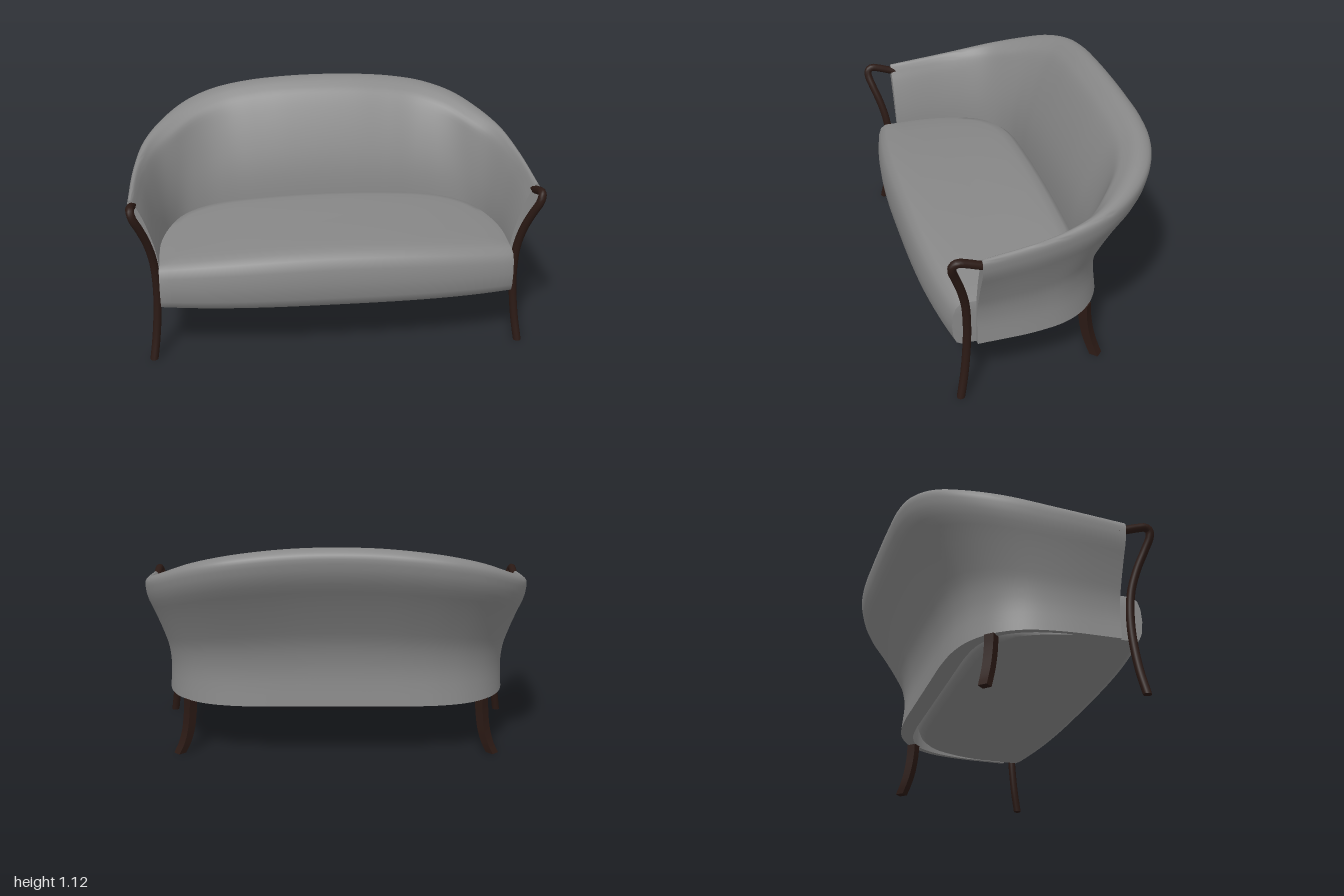
import * as THREE from 'three';
import { toCreasedNormals } from 'three/addons/utils/BufferGeometryUtils.js';

const V = (x, y, z) => new THREE.Vector3(x, y, z);
const fabric = new THREE.MeshStandardMaterial({ color: 0x878787, side: THREE.DoubleSide });
const wood = new THREE.MeshStandardMaterial({ color: 0x2a1914, side: THREE.DoubleSide });

// Skin a stack of closed rings, cap both ends, and make the faces point outward.
function loft(rings, crease) {
  const n = rings[0].length, pts = rings.flat(), tris = [];
  for (let i = 0; i < rings.length - 1; i++) {
    for (let j = 0; j < n; j++) {
      const a = i * n + j, b = i * n + (j + 1) % n;
      tris.push([a, b, b + n], [a, b + n, a + n]);
    }
  }
  const last = (rings.length - 1) * n;
  // Ear-clipped caps also suit curved (concave) sections.
  const cap = (ring, offset, flip) => {
    const normal = V(0, 0, 0);
    ring.forEach((p, j) => normal.add(p.clone().cross(ring[(j + 1) % n])));
    const q = new THREE.Quaternion().setFromUnitVectors(normal.normalize(), V(0, 0, 1));
    const flat = ring.map(p => { const r = p.clone().applyQuaternion(q); return new THREE.Vector2(r.x, r.y); });
    for (const [a, b, c] of THREE.ShapeUtils.triangulateShape(flat, [])) {
      tris.push(flip ? [offset + a, offset + c, offset + b] : [offset + a, offset + b, offset + c]);
    }
  };
  cap(rings[0], 0, true);
  cap(rings[rings.length - 1], last, false);
  let volume = 0;
  for (const [a, b, c] of tris) volume += pts[a].dot(pts[b].clone().cross(pts[c]));
  const index = tris.flatMap(([a, b, c]) => (volume < 0 ? [a, c, b] : [a, b, c]));
  const geo = new THREE.BufferGeometry().setFromPoints(pts);
  geo.setIndex(index);
  return toCreasedNormals(geo, crease);
}

function part(name, geo, material) {
  const mesh = new THREE.Mesh(geo, material);
  mesh.name = name;
  return mesh;
}

// Wraparound back and arms: one leaning section swept round a U-shaped plan.
function backShell() {
  const base = 0.275;
  // Outer top x,z; inner top x,z; outer bottom x,z; inner bottom x,z; height
  const half = [
    [0, -.574, 0, -.42, 0, -.326, 0, -.24, 1.112],
    [.2, -.574, .19, -.42, .19, -.326, .18, -.24, 1.107],
    [.4, -.573, .37, -.42, .37, -.325, .35, -.24, 1.09],
    [.58, -.55, .52, -.405, .53, -.31, .5, -.238, 1.062],
    [.73, -.485, .66, -.35, .66, -.27, .635, -.218, 1.02],
    [.85, -.37, .77, -.26, .77, -.19, .75, -.16, .965],
    [.94, -.2, .875, -.14, .845, -.07, .82, -.055, .91],
    [.985, .05, .935, .06, .88, .1, .86, .11, .86],
    [1, .385, .96, .385, .888, .385, .868, .385, .82],
  ];
  const stations = [
    ...half.slice(1).reverse().map(s => s.map((v, i) => (i < 8 && i % 2 === 0 ? -v : v))),
    ...half,
  ];
  const rail = k => new THREE.CatmullRomCurve3(
    stations.map(s => V(s[k], k < 4 ? s[8] : base, s[k + 1])));
  const rails = [0, 2, 4, 6].map(rail);

  // Section: x = inner to outer, y = bottom to top rail, z = height fraction
  const section = new THREE.CatmullRomCurve3([
    V(1, 0, 0), V(1, -.06, .21), V(1, .02, .365), V(1, .245, .51), V(1, .6, .69),
    V(1, .94, .856), V(1, 1, .95), V(.82, 1, .995), V(.5, 1, 1), V(.2, 1, .965),
    V(0, .98, .925), V(0, .75, .84), V(0, .4, .67), V(0, .14, .5), V(0, .02, .36),
    V(0, -.03, .2), V(0, 0, 0),
  ]).getPoints(48);

  const rings = [];
  const steps = 96;
  for (let i = 0; i <= steps; i++) {
    const [oT, iT, oB, iB] = rails.map(r => r.getPoint(i / steps));
    rings.push(section.map(s => {
      const low = iB.clone().lerp(oB, s.x), high = iT.clone().lerp(oT, s.x);
      const p = low.clone().lerp(high, s.y);
      p.y = base + s.z * (oT.y - base);
      return p;
    }));
  }
  return part('backAndArms', loft(rings, 0.8), fabric);
}

// Crowned seat cushion with a rounded back and a bowed front.
function seatCushion() {
  const side = [[.867, .5], [.865, .22], [.82, .02], [.76, -.105], [.67, -.178], [.55, -.218], [.3, -.23]];
  const outline = new THREE.CatmullRomCurve3([
    ...side.map(([x, z]) => V(x, 0, z)),
    ...side.slice().reverse().map(([x, z]) => V(-x, 0, z)),
  ]).getPoints(64);
  for (let i = 1; i < 32; i++) {
    const x = -.867 + 1.734 * i / 32;
    outline.push(V(x, 0, .5 + .07 * (1 - Math.abs(x / .867) ** 2.8)));
  }
  // x scale, z scale, height fraction
  const levels = [
    [1, .87, 0], [1, .94, .05], [1, .985, .2], [1, 1, .45], [1, .985, .7],
    [1, .94, .87], [.995, .86, .955], [.95, .75, .98], [.8, .6, .99], [.6, .45, .995],
    [.4, .3, 1], [.2, .15, 1], [.02, .02, 1],
  ];
  const rings = levels.map(([sx, sz, v]) => outline.map(p => {
    const x = p.x * sx;
    return V(x, .278 + v * (.302 - .062 * (x / .867) ** 2), .17 + (p.z - .17) * sz);
  }));
  return part('seatCushion', loft(rings, 0.9), fabric);
}

// Bent front leg that sweeps up and hooks back into the arm.
function frontLeg(s) {
  const path = new THREE.CatmullRomCurve3([
    [.917, 0, .479], [.9, .12, .456], [.886, .28, .438], [.884, .4, .434], [.892, .52, .442],
    [.914, .63, .468], [.943, .72, .499], [.968, .78, .517], [.977, .81, .514],
    [.98, .822, .492], [.98, .812, .45], [.98, .793, .395], [.978, .78, .35],
  ].map(([x, y, z]) => V(s * x, y, z)));
  const geo = new THREE.TubeGeometry(path, 72, 0.02, 12);
  const pos = geo.attributes.position;
  for (let i = 0; i < 13; i++) pos.setY(i, 0);
  const leg = new THREE.Group();
  leg.name = s > 0 ? 'frontLegLeft' : 'frontLegRight';
  const foot = part('foot', new THREE.CircleGeometry(0.02, 12).rotateX(Math.PI / 2), wood);
  foot.position.set(s * .917, 0, .479);
  leg.add(part('bentLeg', geo, wood), foot);
  return leg;
}

// Splayed square back leg set on the diagonal, ending under the shell.
function backLeg(s) {
  const path = new THREE.CatmullRomCurve3(
    [[.744, .276, -.19], [.747, .21, -.193], [.757, .12, -.205], [.776, .05, -.222], [.8, 0, -.238]]
      .map(([x, y, z]) => V(s * x, y, z)));
  const rings = path.getPoints(14).map((p, i) => {
    const r = .034 - .003 * i / 14;
    return [[r, 0], [0, r], [-r, 0], [0, -r]].map(([x, z]) => V(p.x + x, p.y, p.z + z));
  });
  return part(s > 0 ? 'backLegLeft' : 'backLegRight', loft(rings, 0.5), wood);
}

export function createModel() {
  const sofa = new THREE.Group();
  sofa.name = 'sofa';
  sofa.add(backShell(), seatCushion());
  for (const s of [1, -1]) sofa.add(frontLeg(s), backLeg(s));
  return sofa;
}
